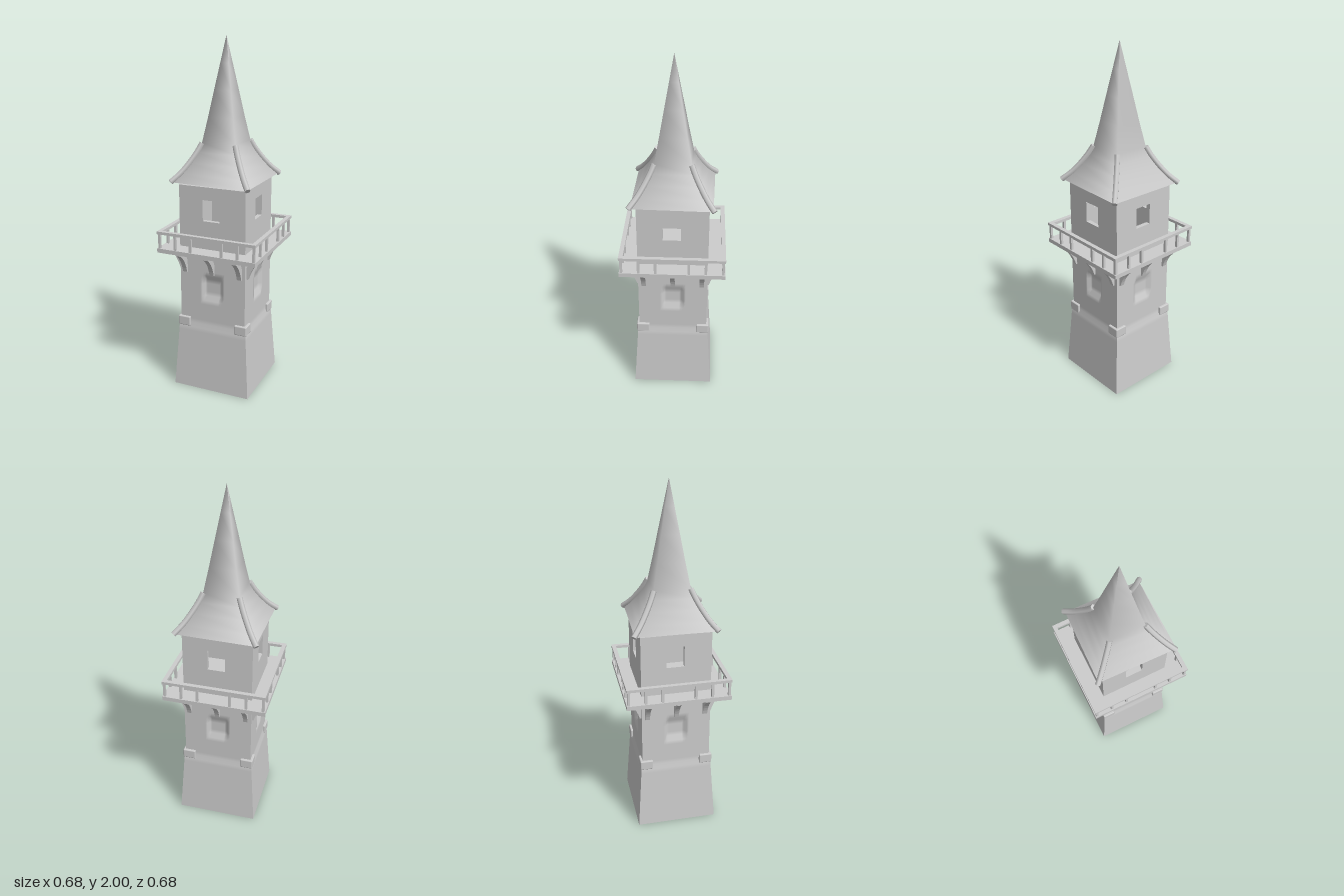
import * as THREE from 'three';
import { RoundedBoxGeometry } from 'three/addons/geometries/RoundedBoxGeometry.js';

export function createModel() {
  const tower = new THREE.Group();
  tower.name = 'tower';
  tower.rotation.y = 0.173;
  const stone = new THREE.MeshStandardMaterial({ color: 0xcccccc });
  stone.name = 'stone';

  const add = (parent, name, geo, x = 0, y = 0, z = 0) => {
    const m = new THREE.Mesh(geo, stone);
    m.name = name;
    m.position.set(x, y, z);
    parent.add(m);
    return m;
  };

  // Half width of the shaft: flared base, small step, straight wall
  const half = (y) => {
    if (y <= 0.376) return 0.231 - 0.025 * (y / 0.375);
    return 0.197;
  };

  // One shaft face with a shallow blind window
  const shaftFace = () => {
    const g = new THREE.PlaneGeometry(2, 1, 32, 34);
    const p = g.attributes.position;
    for (let i = 0; i < p.count; i++) {
      const y = (p.getY(i) + 0.5) * 0.85;
      const h = half(y);
      const x = p.getX(i) * h;
      const dent = Math.abs(x) < 0.05 && y > 0.56 && y < 0.69 ? 0.018 : 0;
      p.setXYZ(i, x, y, h - dent);
    }
    g.computeVertexNormals();
    return g;
  };

  // Upper room wall with an open window
  const roomWall = () => {
    const s = new THREE.Shape();
    s.moveTo(-0.197, 0.85).lineTo(0.197, 0.85).lineTo(0.197, 1.213).lineTo(-0.197, 1.213).closePath();
    const w = new THREE.Path();
    w.moveTo(-0.055, 1.02).lineTo(-0.055, 1.14).lineTo(0.045, 1.14).lineTo(0.045, 1.02).closePath();
    s.holes.push(w);
    return new THREE.ExtrudeGeometry(s, { depth: 0.025, bevelEnabled: false });
  };

  // Curved bracket, drawn with x pointing outward
  const bracketGeo = () => {
    const s = new THREE.Shape();
    s.moveTo(0.19, 0.71).lineTo(0.205, 0.71);
    s.quadraticCurveTo(0.225, 0.785, 0.28, 0.825);
    s.lineTo(0.28, 0.84).lineTo(0.245, 0.84);
    s.quadraticCurveTo(0.2, 0.8, 0.19, 0.75);
    s.closePath();
    const g = new THREE.ExtrudeGeometry(s, { depth: 0.026, bevelEnabled: false, curveSegments: 6 });
    g.translate(0, 0, -0.013);
    g.rotateY(-Math.PI / 2);
    return g;
  };

  // Balcony floor and tower underside
  add(tower, 'balconyFloor', new THREE.BoxGeometry(0.584, 0.024, 0.584), 0, 0.847, 0);
  add(tower, 'base', new THREE.PlaneGeometry(0.462, 0.462).rotateX(Math.PI / 2));

  // Everything that repeats on the four sides
  for (let k = 0; k < 4; k++) {
    const side = new THREE.Group();
    side.name = 'side' + (k + 1);
    side.rotation.y = (k * Math.PI) / 2;
    tower.add(side);
    add(side, 'shaftWall', shaftFace());
    add(side, 'roomWall', roomWall(), 0, 0, 0.172);
    add(side, 'cornerStone', new RoundedBoxGeometry(0.074, 0.056, 0.074, 2, 0.006), 0.174, 0.406, 0.174);
    add(side, 'handrail', new THREE.BoxGeometry(0.584, 0.016, 0.024), 0, 0.95, 0.28);
    for (const x of [-0.185, -0.092, 0.092, 0.185, 0.28])
      add(side, 'railPost', new THREE.BoxGeometry(0.014, 0.09, 0.014), x, 0.9, 0.28);
    for (const x of [-0.165, 0, 0.165])
      add(side, 'bracket', bracketGeo(), x, 0, 0);
  }

  // Bell-shaped square spire
  const roof = new THREE.Group();
  roof.name = 'roof';
  roof.rotation.y = -0.026;
  tower.add(roof);
  const profile = [[0.222, 1.225], [0.187, 1.27], [0.15, 1.327], [0.12, 1.383],
    [0.1, 1.435], [0.075, 1.57], [0.05, 1.715], [0.025, 1.857], [0, 2]];
  const points = profile.map(([h, y]) => new THREE.Vector2(h * Math.SQRT2, y));
  add(roof, 'spire', new THREE.LatheGeometry(points, 4, Math.PI / 4));
  add(roof, 'eaves', new THREE.PlaneGeometry(0.444, 0.444).rotateX(Math.PI / 2), 0, 1.225, 0);

  // Ridge caps along the lower hips
  const path = new THREE.CatmullRomCurve3(
    [[0.229, 1.228], [0.187, 1.275], [0.15, 1.331], [0.12, 1.386], [0.1, 1.432]]
      .map(([h, y]) => new THREE.Vector3(h, y, h)));
  for (let k = 0; k < 4; k++) {
    const ridge = new THREE.Group();
    ridge.name = 'ridgeCap';
    ridge.rotation.y = (k * Math.PI) / 2;
    roof.add(ridge);
    add(ridge, 'ridgeTube', new THREE.TubeGeometry(path, 12, 0.016, 6));
    // Closed ends
    for (const t of [0, 1]) {
      const end = add(ridge, 'ridgeEnd', new THREE.CircleGeometry(0.016, 6));
      end.position.copy(path.getPoint(t));
      const dir = path.getTangent(t).multiplyScalar(t ? 1 : -1);
      end.quaternion.setFromUnitVectors(new THREE.Vector3(0, 0, 1), dir);
    }
  }

  const model = new THREE.Group();
  model.name = 'watchtower';
  model.add(tower);
  return model;
}
